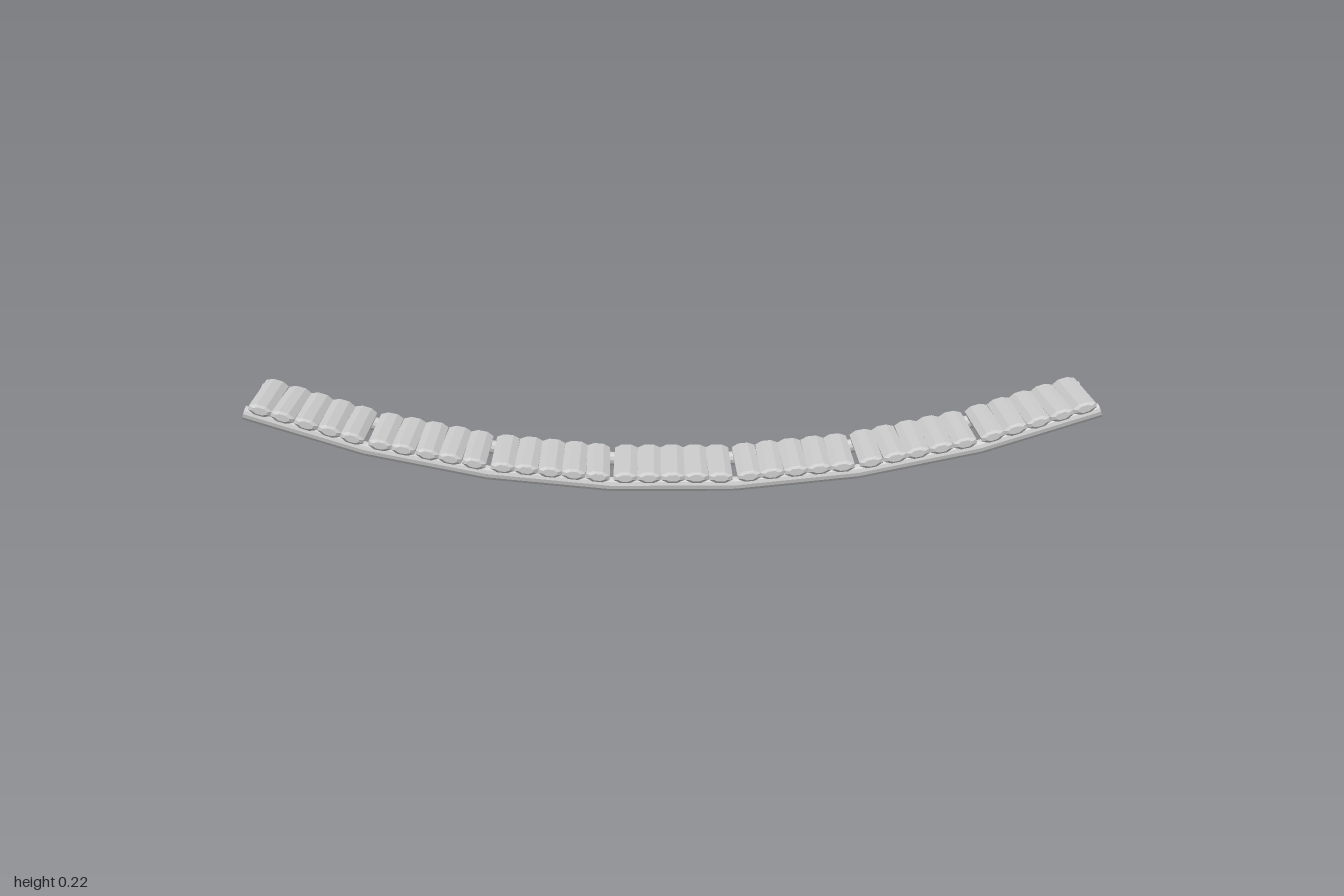
import * as THREE from 'three';

const STEP = 5.8 * Math.PI / 180; // bend between neighbouring sections
const LEN = 0.29;                 // section length
const RAIL_R = 0.017;
const LOGS = 5;
const PITCH = 0.0555;

export function createModel() {
  const model = new THREE.Group();
  model.name = 'logBridge';
  const mat = new THREE.MeshStandardMaterial({ color: 0xcccccc, flatShading: true });

  let seed = 7;
  const jitter = () => {
    seed = (seed * 16807) % 2147483647;
    return seed / 2147483647 - 0.5;
  };

  // Flattened eight-sided log with chamfered ends, lying along z
  const profile = [[0, -0.147], [0.62, -0.147], [1, -0.139], [1, 0.139], [0.62, 0.147], [0, 0.147]]
    .map(([r, y]) => new THREE.Vector2(r, y));
  const logGeo = new THREE.LatheGeometry(profile, 8);
  logGeo.rotateY(Math.PI / 8);
  logGeo.rotateX(Math.PI / 2);
  logGeo.scale(0.03, 0.0135, 1);

  // Round rail lying along x
  const railGeo = new THREE.CylinderGeometry(RAIL_R, RAIL_R, LEN, 12);
  railGeo.rotateZ(Math.PI / 2);

  function section(i) {
    const g = new THREE.Group();
    g.name = 'section' + (i + 4);
    for (const side of [1, -1]) {
      const rail = new THREE.Mesh(railGeo, mat);
      rail.name = side > 0 ? 'frontRail' : 'backRail';
      rail.position.z = side * 0.123;
      g.add(rail);
    }
    for (let k = 0; k < LOGS; k++) {
      const log = new THREE.Mesh(logGeo, mat);
      log.name = 'plankLog';
      log.position.set((k - (LOGS - 1) / 2) * PITCH, 0.019, jitter() * 0.002);
      log.rotation.y = jitter() * 0.025;
      g.add(log);
    }
    return g;
  }

  // Chain the sections end to end along the sagging curve
  for (let i = -3; i <= 3; i++) {
    const g = section(i);
    let x = 0, y = RAIL_R;
    const s = Math.sign(i), n = Math.abs(i);
    for (let j = 0; j < n; j++) {
      x += s * LEN / 2 * (Math.cos(j * STEP) + Math.cos((j + 1) * STEP));
      y += LEN / 2 * (Math.sin(j * STEP) + Math.sin((j + 1) * STEP));
    }
    g.position.set(x, y, 0);
    g.rotation.z = i * STEP;
    model.add(g);
  }
  return model;
}
